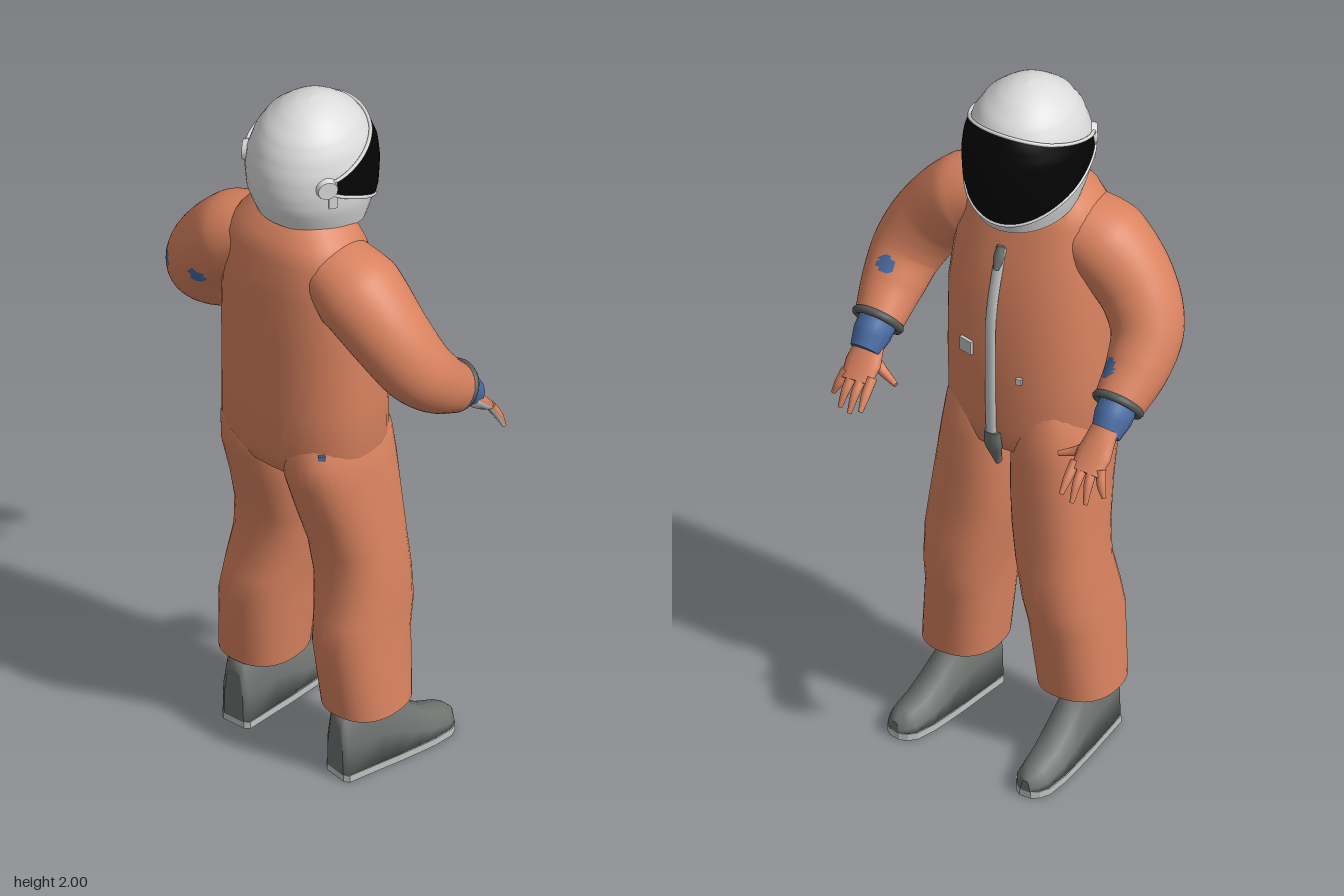
import * as THREE from 'three';

const mat = (name, color) => {
  const m = new THREE.MeshStandardMaterial({ color, side: THREE.DoubleSide });
  m.name = name;
  return m;
};
const V = (x, y, z) => new THREE.Vector3(x, y, z);

// Surface through rows of points; closed rows wrap round and get end caps.
function skin(rows, closed = true, capStart = true, capEnd = true) {
  const n = rows[0].length, pos = [], idx = [];
  rows.forEach(r => r.forEach(p => pos.push(p.x, p.y, p.z)));
  for (let i = 0; i < rows.length - 1; i++) {
    for (let j = 0; j < (closed ? n : n - 1); j++) {
      const k = (j + 1) % n, a = i * n + j, b = i * n + k, c = b + n, d = a + n;
      idx.push(a, b, c, a, c, d);
    }
  }
  const cap = (row, flip) => {
    const base = pos.length / 3, mid = V(0, 0, 0);
    row.forEach(p => { mid.addScaledVector(p, 1 / n); pos.push(p.x, p.y, p.z); });
    pos.push(mid.x, mid.y, mid.z);
    for (let j = 0; j < n; j++) {
      const a = base + j, b = base + (j + 1) % n;
      idx.push(base + n, flip ? b : a, flip ? a : b);
    }
  };
  if (closed && capStart) cap(rows[0], true);
  if (closed && capEnd) cap(rows[rows.length - 1], false);
  const g = new THREE.BufferGeometry();
  g.setAttribute('position', new THREE.Float32BufferAttribute(pos, 3));
  g.setIndex(idx);
  g.computeVertexNormals();
  return g;
}

// Upright body: rings [y, xMin, xMax, zMin, zMax] from bottom to top.
function upright(rings, dz = 0, closed = true, n = 32) {
  const pw = v => Math.sign(v) * Math.abs(v) ** 0.85;
  return skin(rings.map(([y, x0, x1, z0, z1]) => Array.from({ length: n }, (_, j) => {
    const a = j / n * Math.PI * 2;
    return V((x0 + x1) / 2 + (x1 - x0) / 2 * pw(Math.cos(a)), y,
      (z0 + z1) / 2 + dz - (z1 - z0) / 2 * pw(Math.sin(a)));
  })), true, closed, closed);
}

// Tube of changing size: points [x, y, z, sideRadius, upRadius].
function sweep(pts, ref = V(1, 0, 0), steps = 8, n = 12) {
  const curve = new THREE.CatmullRomCurve3(pts.map(p => V(p[0], p[1], p[2])));
  const rows = [];
  for (let i = 0; i <= steps; i++) {
    const u = i / steps, f = u * (pts.length - 1), k = Math.min(Math.floor(f), pts.length - 2), w = f - k;
    const c = curve.getPoint(u), t = curve.getTangent(u);
    const side = ref.clone().addScaledVector(t, -ref.dot(t)).normalize();
    const up = t.clone().cross(side);
    const ra = pts[k][3] * (1 - w) + pts[k + 1][3] * w, rb = pts[k][4] * (1 - w) + pts[k + 1][4] * w;
    rows.push(Array.from({ length: n }, (_, j) => {
      const a = j / n * Math.PI * 2;
      return c.clone().addScaledVector(side, ra * Math.cos(a)).addScaledVector(up, rb * Math.sin(a));
    }));
  }
  return skin(rows);
}

// Gives the second material to faces picked by test(centre, normal).
function paint(g, test) {
  const p = g.attributes.position, id = g.index.array, sets = [[], []];
  for (let i = 0; i < id.length; i += 3) {
    const t = [0, 1, 2].map(k => V().fromBufferAttribute(p, id[i + k]));
    const nrm = t[1].clone().sub(t[0]).cross(t[2].clone().sub(t[0])).normalize();
    const mid = t[0].clone().add(t[1]).add(t[2]).divideScalar(3);
    sets[test(mid, nrm) ? 1 : 0].push(id[i], id[i + 1], id[i + 2]);
  }
  g.setIndex([...sets[0], ...sets[1]]);
  g.addGroup(0, sets[0].length, 0);
  g.addGroup(sets[0].length, sets[1].length, 1);
  return g;
}

// Helmet surface: angle from the face direction, height, and scale.
const profile = [[1.655, 0.83], [1.7, 0.92], [1.74, 0.98], [1.8, 1], [1.85, 0.97], [1.9, 0.87],
  [1.94, 0.72], [1.975, 0.47], [1.993, 0.25], [2, 0.01]];
function helmetPoint(az, y, s = 1) {
  let k = 0;
  while (k < profile.length - 2 && y > profile[k + 1][0]) k++;
  const [y0, r0] = profile[k], [y1, r1] = profile[k + 1];
  const r = (r0 + (r1 - r0) * (y - y0) / (y1 - y0)) * s;
  const z = -0.18 * r * Math.cos(az);
  return V(-0.013 + 0.161 * r * Math.sin(az), y + 0.21 * z * Math.max(0, (1.8 - y) / 0.145), 0.063 + z);
}

export function createModel() {
  const orange = mat('suit orange', 0xda8360), white = mat('helmet white', 0xdcdcdc);
  const black = mat('visor black', 0x040404), blue = mat('lining blue', 0x4a6ca3);
  const boot = mat('boot grey', 0x6e726f), grey = mat('light grey', 0xc2c4c4);
  const dark = mat('ring grey', 0x555a57);
  const root = new THREE.Group();
  const add = (name, geo, m, parent = root) => {
    const mesh = new THREE.Mesh(geo, m);
    mesh.name = name;
    parent.add(mesh);
    return mesh;
  };

  // Torso with sloping shoulders
  add('torso', upright([
    [0.85, -0.05, 0.03, 0.03, 0.13], [0.93, -0.2, 0.175, -0.078, 0.228], [1.0, -0.234, 0.204, -0.09, 0.261],
    [1.15, -0.232, 0.208, -0.09, 0.266], [1.35, -0.23, 0.208, -0.085, 0.268], [1.5, -0.22, 0.2, -0.045, 0.268],
    [1.6, -0.203, 0.182, -0.015, 0.255], [1.65, -0.172, 0.15, 0.0, 0.238], [1.69, -0.12, 0.1, 0.01, 0.2],
  ]), orange);
  const collar = add('neckRing', new THREE.TorusGeometry(0.117, 0.012, 8, 32), blue);
  collar.position.set(-0.013, 1.678, 0.075);
  collar.rotation.x = Math.PI / 2 - 0.18;

  // Front zip, its lower tab and upper slider
  add('zip', sweep([[0.008, 1.53, -0.036, 0.015, 0.008], [0.008, 1.49, -0.05, 0.015, 0.009],
    [0.008, 1.35, -0.087, 0.015, 0.009], [0.008, 1.15, -0.092, 0.015, 0.009], [0.006, 0.96, -0.09, 0.015, 0.009]],
  V(1, 0, 0), 16), grey);
  add('zipTab', sweep([[0.004, 0.985, -0.088, 0.024, 0.013], [0.002, 0.94, -0.086, 0.026, 0.013],
    [-0.002, 0.88, -0.066, 0.008, 0.012]]), boot);
  add('zipSlider', sweep([[0.008, 1.535, -0.038, 0.01, 0.01], [0.008, 1.505, -0.05, 0.016, 0.011],
    [0.008, 1.475, -0.06, 0.008, 0.011]]), boot);

  // Small chest fittings and a hip patch
  [[0.085, 1.22, 0.04, 0.04, -0.081, -0.25, grey], [-0.075, 1.17, 0.015, 0.018, -0.089, 0.2, grey],
    [0.152, 1.02, 0.018, 0.026, 0.219, 0.75, blue]].forEach(([x, y, w, h, z, turn, m]) => {
    const p = add(m === blue ? 'hipPatch' : 'chestFitting', new THREE.BoxGeometry(w, h, 0.009), m);
    p.position.set(x, y, z);
    p.rotation.y = turn;
  });

  // Trouser legs, open at the hem, ending inside the torso
  const legs = [
    [-1, -0.01, [[0.2, -0.29, -0.075], [0.4, -0.275, -0.055], [0.48, -0.268, -0.045], [0.58, -0.256, -0.025],
      [0.68, -0.25, -0.012], [0.8, -0.242, -0.003], [0.92, -0.238, 0], [1.0, -0.23, -0.005], [1.06, -0.205, -0.02]]],
    [1, 0.007, [[0.2, 0.065, 0.275], [0.4, 0.05, 0.257], [0.48, 0.042, 0.254], [0.58, 0.024, 0.252],
      [0.68, 0.006, 0.24], [0.8, -0.009, 0.225], [0.92, -0.014, 0.211], [1.0, -0.01, 0.2], [1.06, 0, 0.175]]],
  ];
  const depth = [[-0.06, 0.173], [-0.082, 0.196], [-0.098, 0.182], [-0.09, 0.158], [-0.087, 0.163],
    [-0.089, 0.2], [-0.088, 0.24], [-0.08, 0.25], [-0.06, 0.22]];
  legs.forEach(([s, dz, rings]) => {
    const side = s > 0 ? 'left' : 'right';
    add(side + 'TrouserLeg', upright(rings.map((r, i) => [...r, ...depth[i]]), dz, false), orange);

    // Boot from cross-sections [z, half width, top height], with a pale sole
    const foot = new THREE.Group();
    foot.name = side + 'Boot';
    const len = s > 0 ? 0.85 : 1;
    const secs = [[0.165, 0.032, 0.17], [0.155, 0.045, 0.21], [0.05, 0.05, 0.205], [0, 0.053, 0.18],
      [-0.08, 0.055, 0.125], [-0.14, 0.055, 0.09], [-0.205, 0.048, 0.072], [-0.23, 0.034, 0.062],
      [-0.244, 0.014, 0.05]].map(([z, w, h]) => [z > 0 ? z : z * len, w, h]);
    const upper = skin(secs.map(([z, w, h]) => [[-1, 0.018], [-0.95, h * 0.5], [-0.6, h * 0.95], [0, h],
      [0.6, h * 0.95], [0.95, h * 0.5], [1, 0.018]].map(([k, y]) => V(k * w, y, z)).reverse()));
    add('bootUpper', upper, boot, foot);
    const outline = [...secs.map(([z, w]) => new THREE.Vector2(w + 0.002, z)),
      ...secs.map(([z, w]) => new THREE.Vector2(-w - 0.002, z)).reverse()];
    const sole = new THREE.ExtrudeGeometry(new THREE.Shape(outline), { depth: 0.02, bevelEnabled: false });
    sole.rotateX(Math.PI / 2);
    sole.translate(0, 0.02, 0);
    add('bootSole', sole, grey, foot);
    foot.position.set(s > 0 ? 0.188 : -0.185, 0, s > 0 ? 0.008 : 0);
    foot.rotation.y = s > 0 ? -0.2 : 0;
    root.add(foot);
  });

  // Arms with small blue patches, cuffs and gloved hands
  const palmDown = V(0, -0.78, 0.63);
  const glove = (c, n) => n.dot(palmDown) > 0.25;
  [-1, 1].forEach(s => {
    const arm = new THREE.Group();
    arm.name = (s > 0 ? 'left' : 'right') + 'Arm';
    root.add(arm);
    const m = (x, ...rest) => [s * x, ...rest];
    const spots = s > 0 ? [V(0.35, 1.265, 0.13), V(0.36, 1.325, -0.008)]
      : [V(-0.385, 1.385, 0.17), V(-0.26, 1.41, 0.215), V(-0.31, 1.28, -0.05)];
    const sleeve = sweep([m(0.08, 1.575, 0.12, 0.08, 0.1), m(0.2, 1.52, 0.13, 0.115, 0.12),
      m(0.3, 1.42, 0.12, 0.104, 0.104), m(0.35, 1.33, 0.085, 0.095, 0.095),
      m(0.36, 1.255, 0.02, 0.083, 0.083), m(0.354, 1.19, -0.06, 0.065, 0.068)], V(s, 1, 0), 48, 40);
    add('sleeve', paint(sleeve, c => spots.some(p => p.distanceTo(c) < 0.028)), [orange, blue], arm);

    const ring = add('wristRing', new THREE.TorusGeometry(0.06, 0.011, 8, 28), dark, arm);
    ring.position.set(s * 0.354, 1.19, -0.067);
    ring.lookAt(s * 0.354, 1.19 - 0.58, -0.067 - 0.82);
    add('cuff', sweep([m(0.354, 1.2, -0.05, 0.051, 0.054), m(0.355, 1.165, -0.095, 0.05, 0.052),
      m(0.355, 1.135, -0.132, 0.04, 0.036)]), blue, arm);

    const hand = new THREE.Group();
    hand.name = 'hand';
    hand.position.z = s > 0 ? 0.022 : -0.018;
    arm.add(hand);
    add('palm', paint(sweep([m(0.355, 1.155, -0.115, 0.037, 0.032), m(0.352, 1.105, -0.165, 0.05, 0.022),
      m(0.35, 1.07, -0.205, 0.044, 0.014)]), glove), [orange, grey], hand);
    const fingers = [[0.312, 0.308, -0.255, 1.02], [0.338, 0.34, -0.256, 1.005], [0.364, 0.374, -0.245, 1.005],
      [0.387, 0.411, -0.215, 1.02]];
    fingers.forEach(([x0, x1, z, y]) => add('finger', paint(sweep([m(x0, 1.085, -0.19, 0.014, 0.013),
      m((x0 + x1) / 2, 1.05, (z - 0.2) / 2, 0.012, 0.011), m(x1, y, z, 0.006, 0.006)]), glove), [orange, grey], hand));
    add('thumb', paint(sweep([m(0.335, 1.115, -0.15, 0.018, 0.018), m(0.295, 1.09, -0.158, 0.013, 0.013),
      m(0.252, 1.075, -0.172, 0.007, 0.007)], V(0, 0, 1)), glove), [orange, grey], hand);
  });

  // Helmet shell
  const N = 48, shell = [];
  for (let i = 0; i <= 26; i++) {
    const y = 1.655 + 0.345 * Math.sin(i / 26 * Math.PI / 2);
    shell.push(Array.from({ length: N }, (_, j) => helmetPoint(-j / N * Math.PI * 2, y)));
  }
  add('helmetShell', skin(shell), white);

  // Wedge-shaped visor, narrowing towards each side, with a thin raised rim
  const reach = 2.06, visor = [], edges = [[], []];
  for (let i = 0; i <= 14; i++) {
    visor.push(Array.from({ length: 41 }, (_, j) => {
      const az = reach * (1 - j / 20), f = (Math.cos(az) - Math.cos(reach)) / (1 - Math.cos(reach));
      const low = 1.808 - 0.126 * f ** 0.85, high = 1.842 + 0.08 * f;
      const p = helmetPoint(az, low + (high - low) * i / 14, 1.03);
      if (i === 0) edges[0].push(p);
      if (i === 14) edges[1].push(p);
      return p;
    }));
  }
  add('visor', skin(visor, false), black);
  edges.forEach(e => add('visorRim', new THREE.TubeGeometry(new THREE.CatmullRomCurve3(e), 60, 0.005, 6), white));

  // Visor hinges
  [-1, 1].forEach(s => {
    const az = s * 2.15, hinge = new THREE.Group();
    hinge.name = 'visorHinge';
    hinge.position.copy(helmetPoint(az, 1.825));
    hinge.rotation.y = Math.PI - az;
    root.add(hinge);
    add('hingeDisc', new THREE.CylinderGeometry(0.026, 0.032, 0.022, 16).rotateX(Math.PI / 2), white, hinge);
    add('hingeArm', new THREE.BoxGeometry(0.022, 0.08, 0.014), white, hinge).position.set(s * 0.015, -0.02, 0);
  });
  return root;
}
